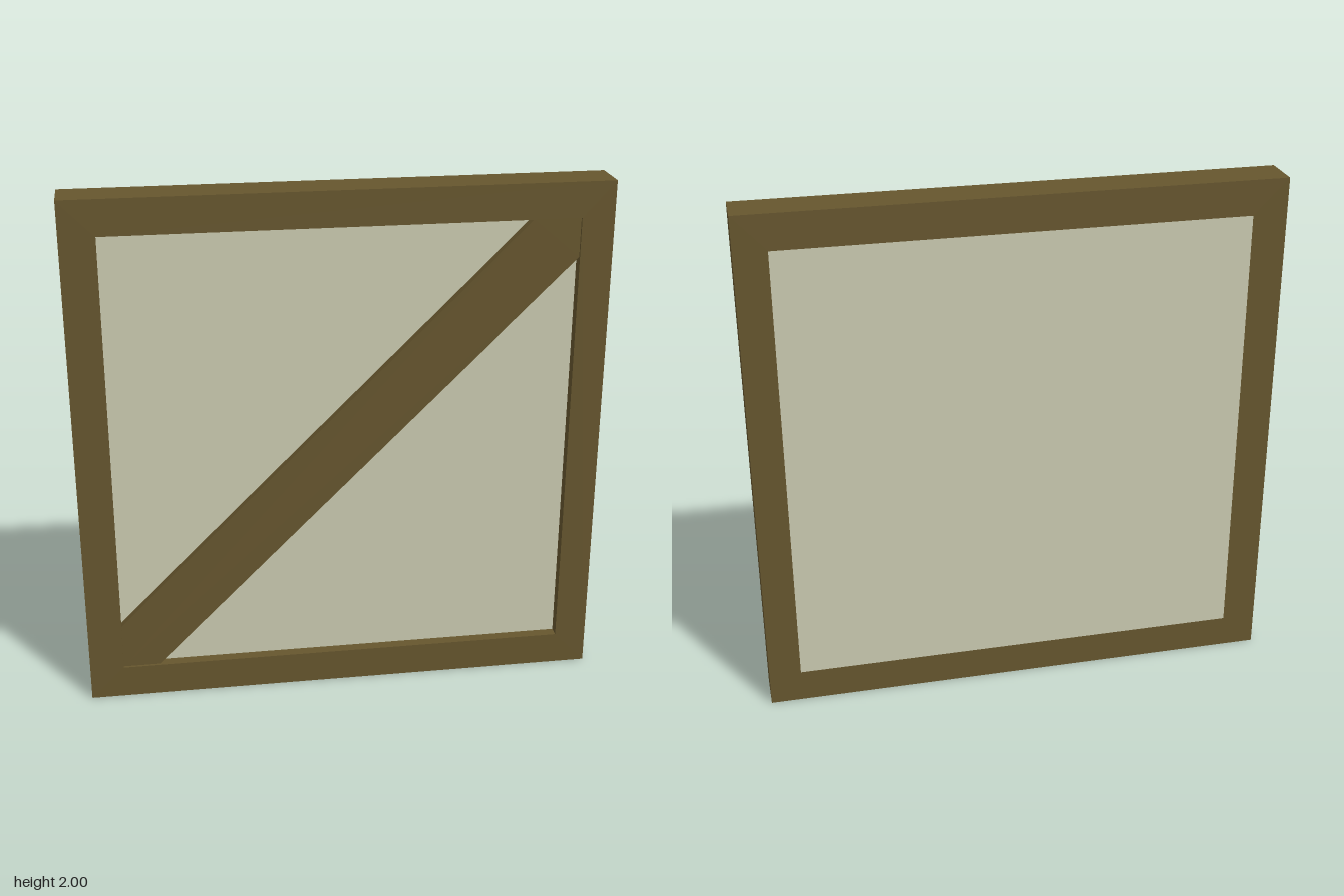
import * as THREE from 'three';

const HALF_DEPTH = 0.08;
const L = -0.87, R = 0.878, B = 0.127, T = 1.866; // opening edges

export function createModel() {
  const group = new THREE.Group();
  group.name = 'bracedPanel';
  const wood = new THREE.MeshStandardMaterial({ color: 0x66562e });
  wood.name = 'brown wood';
  const pale = new THREE.MeshStandardMaterial({ color: 0xcacab0 });
  pale.name = 'pale panel';

  const outline = (points) => new THREE.Shape(points.map(([x, y]) => new THREE.Vector2(x, y)));

  // Extrudes a front outline between two depths
  function addSlab(name, shape, back, front, material) {
    const geometry = new THREE.ExtrudeGeometry(shape, { depth: front - back, bevelEnabled: false });
    geometry.translate(0, 0, back);
    const mesh = new THREE.Mesh(geometry, material);
    mesh.name = name;
    group.add(mesh);
  }

  // Square frame around the opening
  const opening = [[L, B], [R, B], [R, T], [L, T]];
  const frame = outline([[-1, 0], [1, 0], [1, 2], [-1, 2]]);
  frame.holes.push(outline(opening));
  addSlab('frame', frame, -HALF_DEPTH, HALF_DEPTH, wood);

  // Infill panel, flush at the back and recessed at the front
  addSlab('panel', outline(opening), -HALF_DEPTH, 0.037, pale);

  // Diagonal brace, cut to fit the corners and set slightly behind the frame face
  const brace = outline([[L, B], [-0.725, B], [R, 1.717], [R, T], [0.703, T], [L, 0.305]]);
  addSlab('diagonalBrace', brace, 0.03, 0.07, wood);

  return group;
}
